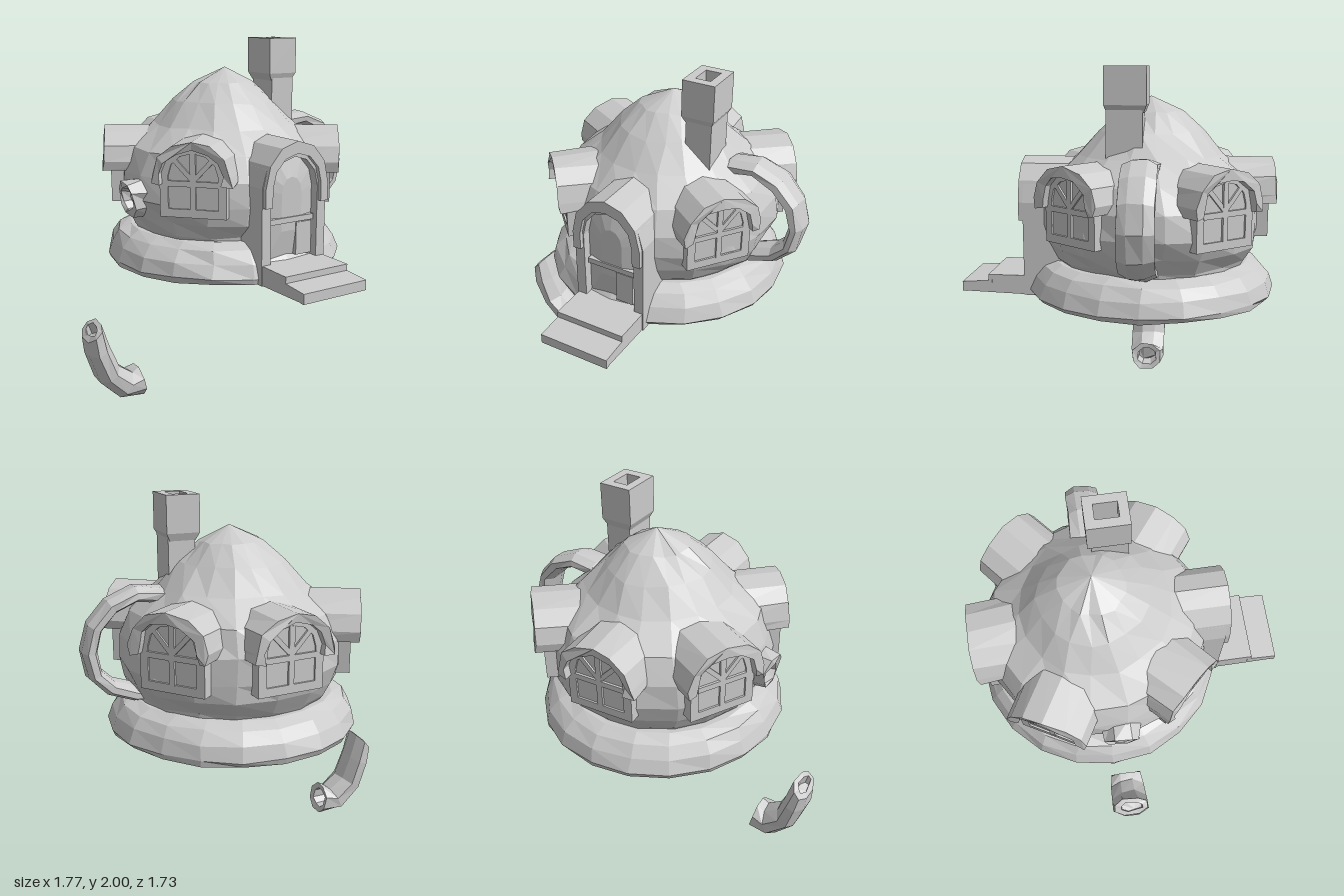
import * as THREE from 'three';

const mat = new THREE.MeshStandardMaterial({ color: 0xcccccc, flatShading: true, side: THREE.DoubleSide });
const CX = 0.05, CZ = -0.18; // axis of the pot

function add(parent, name, geo, x = 0, y = 0, z = 0) {
  const m = new THREE.Mesh(geo, mat);
  m.name = name;
  m.position.set(x, y, z);
  parent.add(m);
  return m;
}

const box = (parent, name, w, h, d, x, y, z) => add(parent, name, new THREE.BoxGeometry(w, h, d), x, y, z);
const vecs = (list) => list.map(([x, y]) => new THREE.Vector2(x, y));

// Hand-made unevenness; equal positions always move equally
function roughen(geo, amount) {
  const p = geo.attributes.position;
  for (let i = 0; i < p.count; i++) {
    const k = [p.getX(i), p.getY(i), p.getZ(i)].map((v) => Math.round(v * 1000));
    const n = (s) => Math.sin(k[0] * 1.7 + k[1] * 2.3 + k[2] * 3.1 + s) * amount;
    p.setXYZ(i, p.getX(i) + n(0), p.getY(i) + n(2) * 0.6, p.getZ(i) + n(4));
  }
  geo.computeVertexNormals();
  return geo;
}

// Arch outline: straight sides from y0 to the spring line ys, then a faceted curve of height h
function archPts(hw, y0, ys, h, n = 6) {
  const pts = [[hw, y0]];
  for (let i = 0; i <= n; i++) {
    const a = (i / n) * Math.PI;
    pts.push([hw * Math.cos(a), ys + h * Math.sin(a)]);
  }
  pts.push([-hw, y0]);
  return pts;
}

// Extruded outline between depths z0 and z1
function slab(outer, hole, z0, z1) {
  const s = new THREE.Shape(vecs(outer));
  if (hole) s.holes.push(new THREE.Path(vecs(hole)));
  const g = new THREE.ExtrudeGeometry(s, { depth: z1 - z0, bevelEnabled: false });
  g.translate(0, 0, z0);
  return g;
}

// Open arch band without a bottom edge
const band = (outer, inner, z0, z1) => slab([...outer, ...inner.slice().reverse()], null, z0, z1);

// Surface through rings of equal point count, capped at both ends
function loft(rings) {
  const n = rings[0].length, pos = [], idx = [];
  rings.forEach((r) => r.forEach((p) => pos.push(...p)));
  for (let i = 0; i < rings.length - 1; i++) {
    for (let j = 0; j < n; j++) {
      const a = i * n + j, b = i * n + (j + 1) % n;
      idx.push(a, b, a + n, b, b + n, a + n);
    }
  }
  const last = (rings.length - 1) * n;
  for (let j = 1; j < n - 1; j++) idx.push(0, j + 1, j, last, last + j, last + j + 1);
  const g = new THREE.BufferGeometry();
  g.setAttribute('position', new THREE.Float32BufferAttribute(pos, 3));
  g.setIndex(idx);
  g.computeVertexNormals();
  return g;
}

// Cross-section of a bent tube: centre, heading, half thickness, half width in z
function ring(x, y, heading, a, b, z, n = 8) {
  return Array.from({ length: n }, (_, i) => {
    const t = ((i + 0.5) / n) * Math.PI * 2, u = a * Math.cos(t);
    return [x - u * Math.sin(heading), y + u * Math.cos(heading), z + b * Math.sin(t)];
  });
}

// Arched dormer window; local +z points away from the pot
function makeWindow(angle, r) {
  const g = new THREE.Group();
  g.name = 'dormerWindow';
  g.position.set(CX, 0, CZ);
  g.rotation.y = angle;
  add(g, 'windowHood', roughen(band(archPts(0.215, 1.28, 1.33, 0.18), archPts(0.165, 1.28, 1.33, 0.13), 0.28, r + 0.03), 0.008));
  add(g, 'windowFrame', slab(archPts(0.18, 1.1, 1.32, 0.155), archPts(0.135, 1.145, 1.32, 0.12), 0.4, r - 0.01));
  // Faceted pane pushed in towards its middle
  const outline = archPts(0.15, 1.13, 1.32, 0.13);
  const pane = outline.map(([x, y]) => [x, y, r - 0.02]);
  const inner = outline.map(([x, y]) => [x * 0.35, 1.3 + (y - 1.3) * 0.35, r - 0.045]);
  add(g, 'windowPane', loft([inner, pane]));
  box(g, 'mullion', 0.03, 0.3, 0.035, 0, 1.29, r - 0.025);
  box(g, 'crossBar', 0.28, 0.03, 0.035, 0, 1.28, r - 0.025);
  for (const s of [-1, 1]) {
    box(g, 'diagonalBar', 0.025, 0.16, 0.03, s * 0.055, 1.355, r - 0.025).rotation.z = -s * 0.75;
  }
  return g;
}

export function createModel() {
  const model = new THREE.Group();
  model.name = 'teapotHouse';

  // Pot body with pointed dome
  const bodyProfile = vecs([[0.51, 0.93], [0.54, 0.97], [0.585, 1.05], [0.615, 1.15], [0.605, 1.28], [0.54, 1.41],
    [0.4, 1.53], [0.285, 1.655], [0.165, 1.755], [0, 1.845]]);
  add(model, 'potBody', roughen(new THREE.LatheGeometry(bodyProfile, 18), 0.011), CX + 0.01, 0, CZ);

  // Rounded foot ring, hollow below, with the floor high inside it
  const footProfile = vecs([[0.52, 0.925], [0.6, 0.84], [0.645, 0.757], [0.672, 0.753], [0.688, 0.785], [0.66, 0.86],
    [0.615, 0.92], [0.55, 0.95], [0.45, 0.95]]);
  add(model, 'footRing', roughen(new THREE.LatheGeometry(footProfile, 20), 0.007), CX, 0, CZ);
  const floor = new THREE.CircleGeometry(0.53, 20);
  floor.rotateX(Math.PI / 2);
  add(model, 'floor', floor, CX, 0.92, CZ);

  // Windows: angle from the front, distance from the axis
  for (const [deg, r] of [[-46, 0.63], [53, 0.635], [130, 0.645], [184, 0.64], [-119, 0.645]]) {
    model.add(makeWindow(THREE.MathUtils.degToRad(deg), r));
  }

  // Arched doorway
  const door = new THREE.Group();
  door.name = 'doorway';
  door.position.x = 0.07;
  model.add(door);
  add(door, 'doorHood', band(archPts(0.2, 1.17, 1.27, 0.235), archPts(0.155, 1.17, 1.27, 0.17), 0.12, 0.53));
  add(door, 'doorFrame', band(archPts(0.205, 0.75, 1.27, 0.2), archPts(0.15, 0.75, 1.25, 0.17), 0.15, 0.505));
  const leaf = archPts(0.16, 0.84, 1.25, 0.17);
  add(door, 'doorLeaf', loft([
    leaf.map(([x, y]) => [x * 0.4, 1.2 + (y - 1.2) * 0.5, 0.48]),
    leaf.map(([x, y]) => [x, y, 0.45]),
  ]));
  box(door, 'doorPanel', 0.1, 0.18, 0.03, 0.08, 0.97, 0.47);
  box(door, 'doorRail', 0.28, 0.03, 0.035, 0, 1.08, 0.47);

  // Steps, hollow below, with side cheeks
  const steps = slab([[0.42, 0.86], [0.71, 0.86], [0.71, 0.825], [0.86, 0.815], [0.86, 0.76], [0.835, 0.76],
    [0.835, 0.785], [0.69, 0.795], [0.69, 0.835], [0.42, 0.835]], null, -0.2, 0.2);
  steps.rotateY(-Math.PI / 2);
  add(model, 'steps', steps, 0.07, 0, 0);
  for (const s of [-1, 1]) {
    const cheek = slab([[0.45, 0.75], [0.86, 0.762], [0.86, 0.81], [0.7, 0.82], [0.7, 0.85], [0.45, 0.85]], null, -0.012, 0.012);
    cheek.rotateY(-Math.PI / 2);
    add(model, 'stepCheek', cheek, 0.07 + s * 0.186, 0, 0);
    // Door posts continue under the floor
    box(model, 'floorBearer', 0.055, 0.175, 0.28, 0.07 + s * 0.1775, 0.8375, 0.01);
  }

  // Chimney: shaft, flare and hollow square pot
  const cx = 0.32, cz = -0.07;
  box(model, 'chimneyShaft', 0.145, 0.3, 0.19, cx + 0.005, 1.64, cz + 0.005);
  const square = (w, d, y) => [[-w, -d], [w, -d], [w, d], [-w, d]].map(([x, z]) => [cx + x, y, cz + z]);
  add(model, 'chimneyPot', loft([square(0.07, 0.095, 1.765), square(0.09, 0.11, 1.805), square(0.09, 0.11, 2),
    square(0.042, 0.06, 2), square(0.042, 0.06, 1.83)]));

  // Loop handle on the left side, with chamfered edges
  const path = [[0.36, 1.45], [0.46, 1.5], [0.59, 1.515], [0.72, 1.46], [0.81, 1.36], [0.845, 1.235], [0.82, 1.11],
    [0.74, 1.03], [0.61, 0.985], [0.5, 0.98]];
  const handleRings = path.map(([x, y], i) => {
    const p = path[Math.max(i - 1, 0)], q = path[Math.min(i + 1, path.length - 1)];
    return ring(x, y, Math.atan2(q[1] - p[1], q[0] - p[0]), 0.043, 0.098, -0.165);
  });
  add(model, 'handle', roughen(loft(handleRings), 0.004));

  // Broken spout stub on the right side, hollow at the break
  const sz = -0.12;
  add(model, 'spoutStub', roughen(loft([
    ring(-0.48, 1.16, 0.15, 0.11, 0.11, sz),
    ring(-0.6, 1.155, 0.15, 0.1, 0.095, sz),
    ring(-0.6, 1.155, 0.15, 0.07, 0.065, sz),
    ring(-0.54, 1.15, 0, 0.06, 0.06, sz),
  ]), 0.012));

  // Spout piece broken off and lying apart, hollow at both ends
  add(model, 'brokenSpout', roughen(loft([
    ring(-0.83, 0.40, 1.95, 0.03, 0.065, -0.11),
    ring(-0.842, 0.45, 2.4, 0.035, 0.07, -0.11),
    ring(-0.842, 0.445, 2.4, 0.066, 0.112, -0.11),
    ring(-0.817, 0.33, 1.87, 0.066, 0.115, -0.11),
    ring(-0.765, 0.18, 2.1, 0.072, 0.115, -0.11),
    ring(-0.665, 0.085, 2.6, 0.084, 0.112, -0.11),
    ring(-0.568, 0.09, 3.3, 0.092, 0.1, -0.11),
    ring(-0.575, 0.09, 3.3, 0.06, 0.065, -0.11),
    ring(-0.64, 0.09, 2.9, 0.05, 0.06, -0.11),
  ]), 0.005));

  return model;
}
